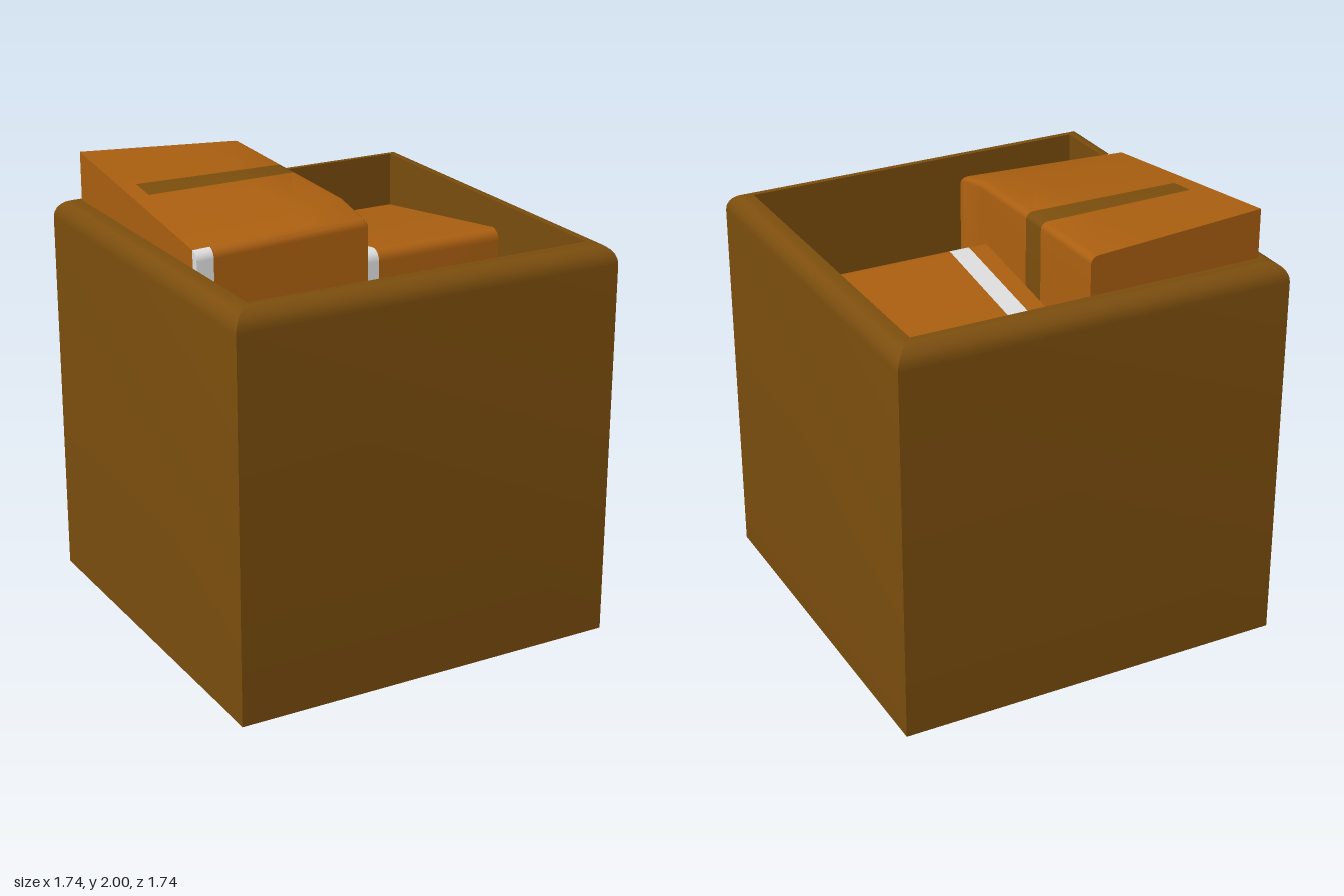
import * as THREE from 'three';
import { toCreasedNormals } from 'three/addons/utils/BufferGeometryUtils.js';

const material = (name, color) => {
  const m = new THREE.MeshStandardMaterial({ color });
  m.name = name;
  return m;
};

// Drop in height at distance d from an edge rounded with radius r
const roundDrop = (d, r) => (d >= r ? 0 : r - Math.sqrt(Math.max(0, r * r - (r - d) ** 2)));
// Stations that run over a rounded edge up to its end
const roundStations = (end, r) => [0, 0.2, 0.4, 0.6, 0.8, 1].map(t => end - r * (1 - Math.sin(t * Math.PI / 2)));

// Parcel on a grid of x and z stations, with height rules above and below and a colour rule per face
function parcel(name, xs, zs, top, bottom, materials, pick) {
  const nx = xs.length - 1, nz = zs.length - 1;
  const box = new THREE.BoxGeometry(1, 1, 1, nx, 1, nz);
  const p = box.attributes.position;
  for (let i = 0; i < p.count; i++) {
    const x = xs[Math.round((p.getX(i) + 0.5) * nx)];
    const z = zs[Math.round((p.getZ(i) + 0.5) * nz)];
    p.setXYZ(i, x, p.getY(i) > 0 ? top(x, z) : bottom(x, z), z);
  }
  box.clearGroups();
  const geo = toCreasedNormals(box, 0.5);
  const q = geo.attributes.position;
  const mid = (get, i) => {
    const v = [get(i), get(i + 1), get(i + 2)];
    return (Math.min(...v) + Math.max(...v)) / 2;
  };
  geo.clearGroups();
  for (let i = 0; i < q.count; i += 3) {
    geo.addGroup(i, 3, pick(mid(k => q.getX(k), i), mid(k => q.getZ(k), i)));
  }
  const mesh = new THREE.Mesh(geo, materials);
  mesh.name = name;
  return mesh;
}

export function createModel() {
  const model = new THREE.Group();
  model.name = 'boxOfParcels';
  const brown = material('darkBrown', 0x7c4e0d);
  const orange = material('cardboardOrange', 0xac6010);
  const white = material('white', 0xe0e0e0);
  const red = material('red', 0xb20e12);

  // Open box: wall, rounded rim, inner wall and floor swept round a square
  const profile = [[0.87, 0.045], [0.87, 1.7]];
  for (let i = 1; i <= 6; i++) {
    const a = (i / 6) * Math.PI / 2;
    profile.push([0.785 + 0.085 * Math.cos(a), 1.7 + 0.085 * Math.sin(a)]);
  }
  profile.push([0.775, 1.785], [0.775, 0.06], [0, 0.06]);
  const points = profile.map(([r, y]) => new THREE.Vector2(r * Math.SQRT2, y));
  const shell = new THREE.Mesh(
    toCreasedNormals(new THREE.LatheGeometry(points, 4, Math.PI / 4), 0.5), brown);
  shell.name = 'openBox';
  model.add(shell);

  // Underside
  const base = new THREE.Mesh(new THREE.BoxGeometry(1.738, 0.006, 1.738), white);
  base.name = 'underside';
  base.position.y = 0.048;
  model.add(base);

  // Tall parcel with a twisted, humped top, a brown tape and a white corner strip
  const lerp = THREE.MathUtils.lerp;
  const tallTop = (x, z) => {
    const left = 1.86 + 0.14 * (0.31 - z) / 1.085;
    const right = z > 0.15 ? lerp(1.925, 1.89, (z - 0.15) / 0.16) : lerp(1.925, 1.95, (0.15 - z) / 0.925);
    return lerp(left, right, (x + 0.775) / 0.775) - Math.max(roundDrop(-x, 0.03), roundDrop(0.345 - z, 0.035));
  };
  model.add(parcel('tallParcel',
    [-0.775, -0.7, -0.5, -0.25, ...roundStations(0, 0.03)],
    [-0.775, -0.37, -0.245, 0.15, ...roundStations(0.345, 0.035)],
    tallTop,
    (x, z) => (z > 0.15 ? Math.min(0.056, 0.035 + 0.05 * (x + 0.775) + 0.06 * (0.345 - z)) : 0.056),
    [orange, brown, white],
    (x, z) => (x < -0.7 && z > 0.309 ? 2 : x > -0.7 && z > -0.37 && z < -0.245 ? 1 : 0)));

  // Middle parcel, sloping down to the back, with a white strip
  model.add(parcel('middleParcel',
    [0.003, 0.085, 0.175, 0.775],
    [-0.775, -0.7, ...roundStations(0.14, 0.055)],
    (x, z) => 1.67 - 0.14 * (0.14 - z) - roundDrop(0.14 - z, 0.055),
    (x, z) => (z < -0.75 ? 0.043 : 0.056),
    [orange, white],
    x => (x > 0.085 && x < 0.175 ? 1 : 0)));

  // Low parcel with a red strip; its tilted corner pokes through the underside
  model.add(parcel('lowParcel',
    [-0.775, -0.2, -0.02, ...roundStations(0.133, 0.035)],
    [0.35, 0.52, 0.6, 0.775],
    (x, z) => 1.3 - roundDrop(0.133 - x, 0.035),
    (x, z) => Math.min(0.056, 0.1 * (0.775 - z) + 0.25 * Math.max(0, -0.02 - x)),
    [orange, red],
    (x, z) => (z > 0.52 && z < 0.6 ? 1 : 0)));

  return model;
}
